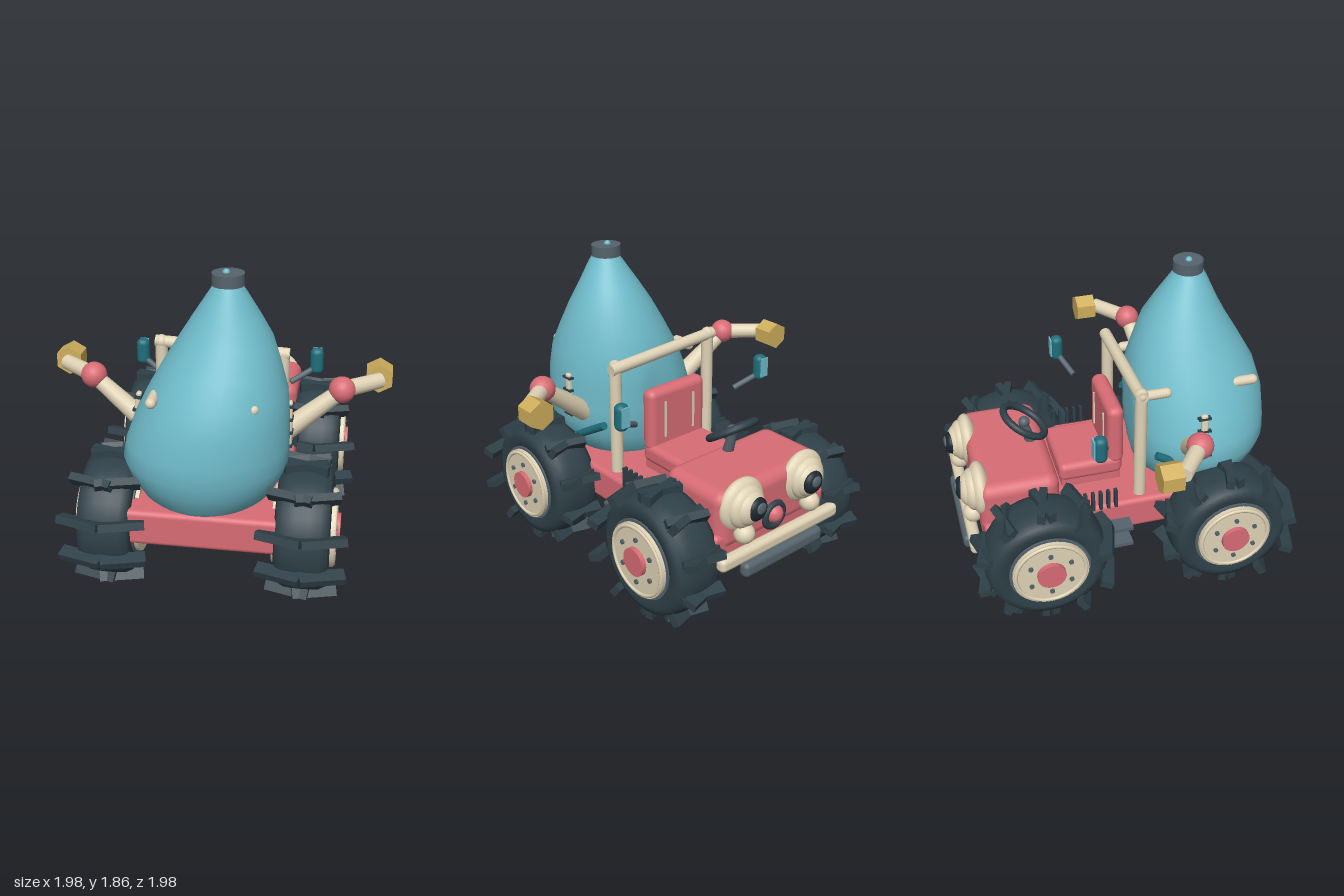
import * as THREE from 'three';
import { mergeVertices } from 'three/addons/utils/BufferGeometryUtils.js';
import { RoundedBoxGeometry } from 'three/addons/geometries/RoundedBoxGeometry.js';

const mat = (name, color) => {
  const m = new THREE.MeshStandardMaterial({ color });
  m.name = name;
  return m;
};

export function createModel() {
  const teal = mat('tank teal', 0x70bccb), red = mat('body red', 0xd96c75), cream = mat('cream', 0xe0d3b6);
  const rubber = mat('rubber', 0x2f4048), grey = mat('steel grey', 0x56646d), gold = mat('gold', 0xcfae5c);
  const deepTeal = mat('deep teal', 0x1f6e7b), black = mat('pupil black', 0x1d282e);
  const model = new THREE.Group();
  model.name = 'tankTractor';

  const add = (name, geo, material, x = 0, y = 0, z = 0, parent = model) => {
    const m = new THREE.Mesh(geo, material);
    m.name = name;
    m.position.set(x, y, z);
    parent.add(m);
    return m;
  };
  const box = (w, h, d, r = 0.02) => new RoundedBoxGeometry(w, h, d, 3, r);
  const ball = (r) => new THREE.SphereGeometry(r, 24, 16);
  // Straight round bar between two points
  const rod = (name, a, b, r1, r2, material) => {
    const p = new THREE.Vector3(...a), q = new THREE.Vector3(...b);
    const d = q.clone().sub(p);
    const m = add(name, new THREE.CylinderGeometry(r2, r1, d.length(), 14), material);
    m.position.copy(p).add(q).multiplyScalar(0.5);
    m.quaternion.setFromUnitVectors(new THREE.Vector3(0, 1, 0), d.normalize());
    return m;
  };

  // Body
  add('chassis', box(0.87, 0.21, 1.72, 0.03), red, 0, 0.468, 0.02);
  add('hood', box(0.82, 0.36, 0.47, 0.07), red, 0, 0.64, -0.615);
  add('seatPedestal', box(0.4, 0.1, 0.36, 0.01), red, 0, 0.61, -0.15);
  add('seatBase', box(0.43, 0.12, 0.39, 0.04), red, 0, 0.675, -0.15);
  add('seatBack', box(0.43, 0.4, 0.1, 0.045), red, 0, 0.885, 0.005);
  for (const s of [-1, 1]) add('seatPiping', new THREE.BoxGeometry(0.012, 0.23, 0.009), cream, s * 0.11, 0.89, -0.049);

  // Leaning tear-shaped tank: rows of y, centre x, centre z, radius x, radius z
  const rows = [
    [1.8, 0.095, 0.52, 0.06, 0.06], [1.74, 0.095, 0.515, 0.1, 0.105], [1.6, 0.09, 0.5, 0.185, 0.185],
    [1.48, 0.085, 0.495, 0.255, 0.255], [1.34, 0.065, 0.51, 0.32, 0.325], [1.2, 0.045, 0.525, 0.38, 0.39],
    [1.05, 0.015, 0.54, 0.425, 0.42], [0.9, -0.01, 0.545, 0.455, 0.425], [0.8, -0.02, 0.545, 0.465, 0.425],
    [0.7, -0.02, 0.54, 0.43, 0.4], [0.6, -0.02, 0.53, 0.37, 0.365], [0.53, -0.02, 0.53, 0.28, 0.3]];
  const n = rows.length - 1;
  let tank = new THREE.CylinderGeometry(1, 1, 1, 40, n, true);
  const p = tank.attributes.position;
  for (let i = 0; i < p.count; i++) {
    const [y, cx, cz, rx, rz] = rows[Math.round((0.5 - p.getY(i)) * n)];
    p.setXYZ(i, Math.min(0.44, cx + rx * p.getX(i)), y, Math.max(0.14, cz + rz * p.getZ(i)));
  }
  tank.deleteAttribute('uv');
  tank.deleteAttribute('normal');
  tank = mergeVertices(tank, 1e-4);
  tank.computeVertexNormals();
  add('tank', tank, teal);
  add('tankCap', new THREE.CylinderGeometry(0.088, 0.088, 0.065, 24), grey, 0.095, 1.805, 0.51);
  add('capKnob', ball(0.02), teal, 0.085, 1.838, 0.51);
  for (const x of [-0.27, 0.27]) for (const z of [0.23, 0.755]) {
    add('tankPeg', new THREE.CapsuleGeometry(0.03, 0.11, 6, 12), cream, x, 1.2, z).rotation.x = Math.PI / 2;
  }

  // Roll bar
  const barY = (x) => 1.255 - x * 0.05;
  for (const s of [-1, 1]) rod('rollBarPost', [s * 0.36, 0.56, 0.105], [s * 0.36, barY(s * 0.36), 0.105], 0.037, 0.037, cream);
  rod('rollBarTop', [-0.395, barY(-0.395), 0.1], [0.395, barY(0.395), 0.1], 0.036, 0.036, cream);
  add('rollBarJoint', ball(0.04), cream, -0.36, 1.275, 0.105);

  // Wheels: tyre, hub, bolts and cross lugs
  const tyreGeo = new THREE.LatheGeometry([[0.2, -0.12], [0.235, -0.14], [0.29, -0.152], [0.33, -0.14], [0.352, -0.1],
    [0.36, -0.04], [0.36, 0.04], [0.352, 0.1], [0.33, 0.14], [0.29, 0.152], [0.235, 0.14], [0.2, 0.12]]
    .map(([r, h]) => new THREE.Vector2(r, h)), 40);
  const cyl = (r, h, seg = 32) => new THREE.CylinderGeometry(r, r, h, seg).rotateZ(Math.PI / 2);
  const lugGeo = new THREE.BoxGeometry(0.25, 0.075, 0.045);
  for (const s of [-1, 1]) for (const z of [-0.52, 0.59]) {
    const wheel = new THREE.Group();
    wheel.name = z < 0 ? 'steeringWheelSideTyre' : 'tankSideWheel';
    wheel.position.set(s * 0.548, 0.4, z);
    model.add(wheel);
    add('tyre', tyreGeo, rubber, 0, 0, 0, wheel).rotation.z = Math.PI / 2;
    add('rimRing', cyl(0.238, 0.3), grey, 0, 0, 0, wheel);
    add('hubDisc', cyl(0.222, 0.345), cream, 0, 0, 0, wheel);
    const lip = add('hubLip', new THREE.TorusGeometry(0.205, 0.012, 8, 40), cream, s * 0.17, 0, 0, wheel);
    lip.rotation.y = Math.PI / 2;
    add('hubCap', cyl(0.083, 0.4), red, 0, 0, 0, wheel);
    for (let i = 0; i < 6; i++) {
      const a = i * Math.PI / 3;
      add('bolt', cyl(0.014, 0.02, 8), grey, s * 0.175, Math.cos(a) * 0.135, Math.sin(a) * 0.135, wheel);
    }
    for (let i = 0; i < 10; i++) for (const side of [-1, 1]) {
      const a = i * Math.PI / 5;
      const shift = side * 0.125 * Math.max(0, Math.sin(a));
      const lug = add('lug', lugGeo, rubber, shift, Math.cos(a) * 0.36, Math.sin(a) * 0.36, wheel);
      lug.rotation.set(a, side * 0.27, 0, 'YXZ');
    }
  }
  for (const z of [-0.52, 0.59]) add('axle', cyl(0.05, 0.9, 16), grey, 0, 0.4, z);

  for (const s of [-1, 1]) {
    // Arms with hexagonal hands
    rod('upperArm', [s * 0.38, 0.87, 0.4], [s * 0.71, 1.13, 0.335], 0.062, 0.045, cream);
    add('elbow', ball(0.075), red, s * 0.71, 1.135, 0.335);
    rod('forearm', [s * 0.71, 1.135, 0.335], [s * 0.92, 1.135, 0.17], 0.048, 0.045, cream);
    const hand = new THREE.CylinderGeometry(0.085, 0.085, 0.12, 6).toNonIndexed();
    hand.computeVertexNormals();
    add('hand', hand, gold, s * 0.915, 1.135, 0.095).rotation.x = Math.PI / 2;

    // Mirrors
    rod('mirrorStalk', [s * 0.39, 0.97, -0.11], [s * 0.54, 1.05, -0.18], 0.018, 0.018, grey);
    add('mirrorShell', box(0.08, 0.165, 0.075, 0.034), deepTeal, s * 0.54, 1.09, -0.18);
    add('mirrorGlass', new THREE.BoxGeometry(0.055, 0.12, 0.009), teal, s * 0.54, 1.1, -0.22);

    // Braces, level gauge, louvres and steps
    rod('tankBrace', [s * 0.4, 0.69, 0.46], [s * 0.38, 0.84, 0.2], 0.024, 0.024, deepTeal);
    const gauge = new THREE.Group();
    gauge.name = 'levelGauge';
    gauge.position.set(s * 0.435, 0.965, 0.47);
    if (s < 0) gauge.rotation.z = -0.15;
    model.add(gauge);
    add('gaugeStrip', box(0.03, 0.29, 0.04, 0.012), cream, 0, 0, 0, gauge);
    for (let i = 0; i < 4; i++) {
      add('gaugeTick', new THREE.BoxGeometry(0.04, 0.012, 0.075), rubber, 0, 0.12 - i * 0.08, 0, gauge);
    }
    for (let i = 0; i < 5; i++) {
      add('louvre', new THREE.BoxGeometry(0.03, 0.125, 0.018), rubber, s * 0.43, 0.62, -0.06 - i * 0.046);
    }
    for (const y of [0.325, 0.443]) add('step', new THREE.BoxGeometry(0.13, 0.024, 0.185), grey, s * 0.465, y, -0.07);
    add('stepHanger', new THREE.BoxGeometry(0.02, 0.14, 0.02), grey, s * 0.42, 0.385, -0.07);

    // Headlamp eyes facing the hood end
    const disc = (name, r, depth, m, x, y, z) => add(name, ball(r), m, x, y, z).scale.set(1, 1, depth / r);
    disc('eyeRing', 0.158, 0.065, cream, s * 0.24, 0.715, -0.83);
    disc('eyeCollar', 0.125, 0.06, cream, s * 0.24, 0.715, -0.87);
    disc('eyeBall', 0.105, 0.075, cream, s * 0.235, 0.715, -0.88);
    disc('pupil', 0.07, 0.04, black, s * 0.222, 0.72, -0.93);
    disc('iris', 0.035, 0.012, grey, s * 0.218, 0.735, -0.963);
    add('cheekLamp', ball(0.06), cream, s * 0.26, 0.56, -0.88);
  }

  // Nose, mouth and bumpers
  add('nose', ball(0.055), red, 0, 0.57, -0.85);
  add('mouth', new THREE.TorusGeometry(0.07, 0.022, 8, 24), rubber, 0, 0.56, -0.85);
  add('bumper', box(0.93, 0.085, 0.07, 0.03), cream, 0, 0.445, -0.9);
  add('lowerBumper', box(0.62, 0.09, 0.07, 0.03), grey, 0, 0.36, -0.925);

  // Steering wheel
  rod('steeringColumn', [0, 0.8, -0.47], [0, 0.95, -0.51], 0.034, 0.026, grey);
  add('steeringWheel', new THREE.TorusGeometry(0.14, 0.022, 12, 32), rubber, 0, 0.96, -0.505).rotation.x = -0.99;
  add('steeringHub', ball(0.034), grey, 0, 0.955, -0.505);
  return model;
}
